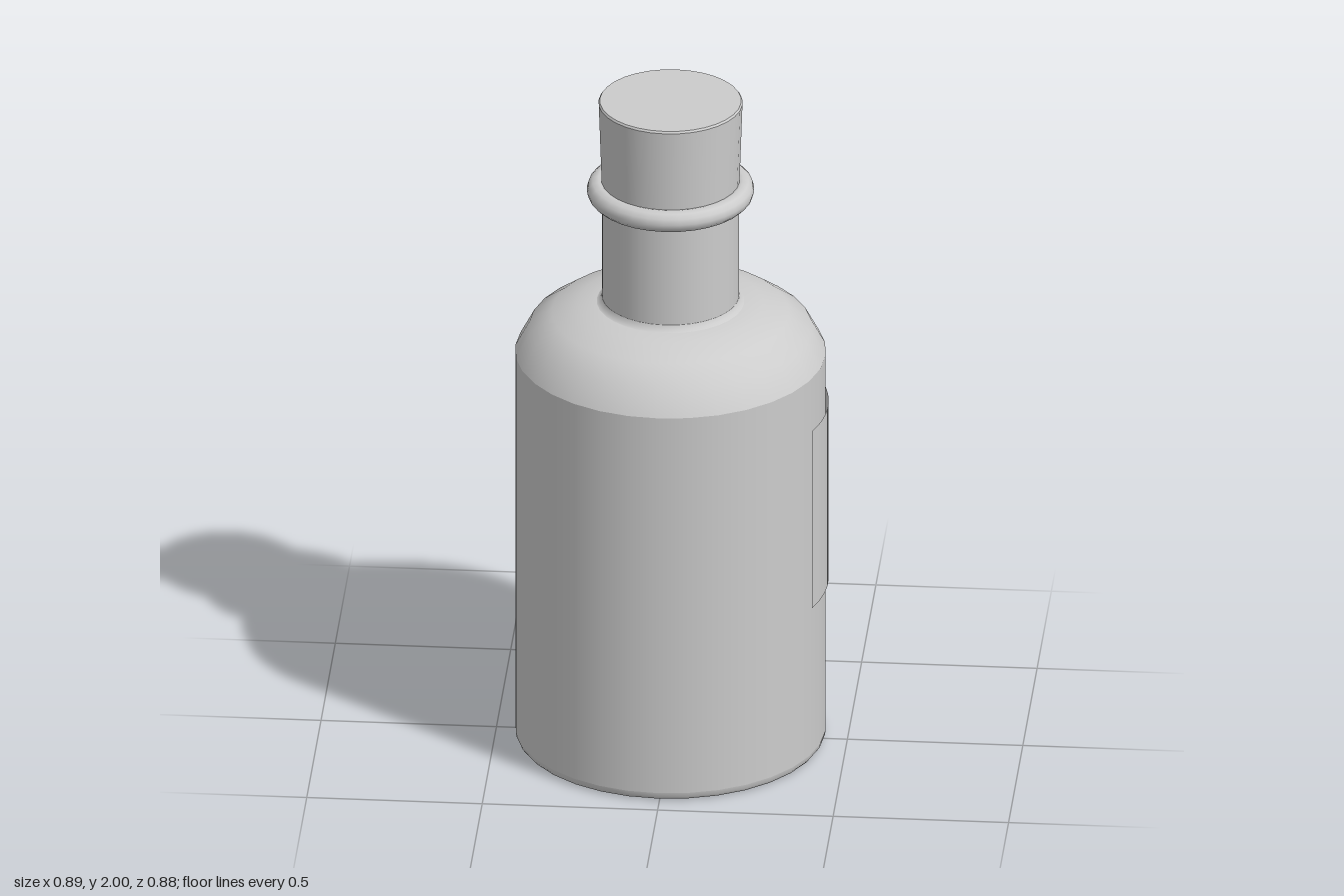
import * as THREE from 'three';

const SIDES = 32;

export function createModel() {
  const bottle = new THREE.Group();
  bottle.name = 'bottle';
  const grey = new THREE.MeshStandardMaterial({ color: 0xcccccc, side: THREE.DoubleSide });
  grey.name = 'grey';

  const add = (name, geometry, y = 0) => {
    const mesh = new THREE.Mesh(geometry, grey);
    mesh.name = name;
    mesh.position.y = y;
    bottle.add(mesh);
    return mesh;
  };
  // turned part from [radius, height] pairs, bottom to top
  const turn = (name, profile) =>
    add(name, new THREE.LatheGeometry(profile.map(([r, y]) => new THREE.Vector2(r, y)), SIDES));
  const disc = (name, radius, y, facing) =>
    add(name, new THREE.CircleGeometry(radius, SIDES).rotateX(-facing * Math.PI / 2), y);

  // body: flat base, small rounded foot, straight wall
  disc('base', 0.425, 0, -1);
  turn('foot', [[0.425, 0], [0.434, 0.004], [0.44, 0.012], [0.442, 0.025]]);
  turn('bodyWall', [[0.442, 0.025], [0.442, 1.21]]);

  // rounded shoulder flowing into the neck
  turn('shoulder', [[0.442, 1.21], [0.402, 1.285], [0.337, 1.332], [0.262, 1.36], [0.21, 1.367]]);
  turn('neckFillet', [[0.21, 1.367], [0.2, 1.372], [0.195, 1.385]]);
  turn('neck', [[0.195, 1.385], [0.195, 1.72]]);

  // lip ring
  add('lipRing', new THREE.TorusGeometry(0.206, 0.032, 12, SIDES).rotateX(Math.PI / 2), 1.72);

  // tapered stopper
  turn('stopperSide', [[0.195, 1.7], [0.205, 1.994]]);
  turn('stopperEdge', [[0.205, 1.994], [0.201, 2]]);
  disc('stopperTop', 0.201, 2, 1);

  // curved label on the left side
  const arc = 0.76;
  add('label', new THREE.CylinderGeometry(0.449, 0.449, 0.56, 16, 1, true, Math.PI / 2 - arc / 2, arc), 0.772);

  // shift so the label and body together are centred
  bottle.children.forEach((part) => { part.position.x = -0.004; });
  return bottle;
}
